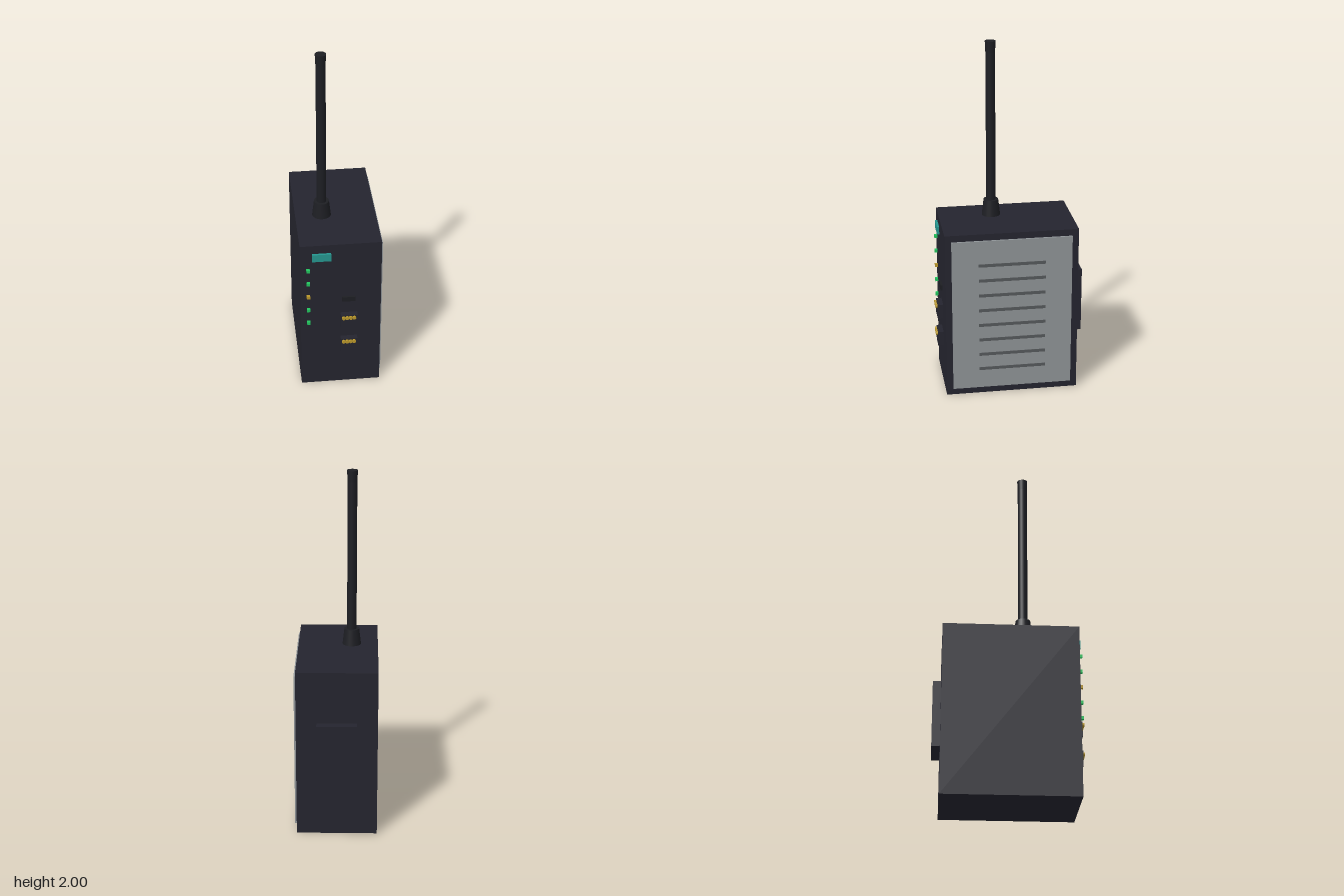
import * as THREE from 'three';

const mat = (name, color) => {
  const m = new THREE.MeshStandardMaterial({ color });
  m.name = name;
  return m;
};

export function createModel() {
  const root = new THREE.Group();
  root.name = 'antennaBox';
  const caseDark = mat('case dark', 0x24242e);
  const rubber = mat('rubber black', 0x1d1e23);
  const panelGrey = mat('panel grey', 0x8e9396);
  const slotGrey = mat('slot grey', 0x55595b);
  const teal = mat('label teal', 0x25968f);
  const green = mat('light green', 0x22c55e);
  const gold = mat('contact gold', 0xb8962a);

  const add = (name, geometry, material, x = 0, y = 0, z = 0) => {
    const mesh = new THREE.Mesh(geometry, material);
    mesh.name = name;
    mesh.position.set(x, y, z);
    root.add(mesh);
    return mesh;
  };
  // Box given by its lower and upper limits on each axis
  const box = (name, material, [x0, x1], [y0, y1], [z0, z1]) =>
    add(name, new THREE.BoxGeometry(x1 - x0, y1 - y0, z1 - z0), material,
      (x0 + x1) / 2, (y0 + y1) / 2, (z0 + z1) / 2);

  // Case and rear mounting block
  box('case', caseDark, [-0.235, 0.22], [0, 0.985], [-0.378, 0.378]);
  box('rearMount', caseDark, [-0.12, 0.105], [0.305, 0.685], [-0.424, -0.378]);

  // Side panel with vent slots
  box('sidePanel', panelGrey, [0.22, 0.231], [0.04, 0.947], [-0.341, 0.341]);
  for (let i = 0; i < 8; i++) {
    const y = 0.16 + i * 0.0915;
    box('ventSlot', slotGrey, [0.225, 0.2335], [y - 0.009, y + 0.009], [-0.19, 0.19]);
  }

  // Front label and status lights
  box('label', teal, [-0.168, -0.062], [0.885, 0.932], [0.378, 0.391]);
  for (let i = 0; i < 5; i++) {
    const y = 0.823 - i * 0.0915;
    box('statusLight', i === 2 ? gold : green, [-0.2, -0.181], [y - 0.009, y + 0.009], [0.378, 0.395]);
  }

  // Small socket and two ports with a row of round contacts
  box('smallSocket', rubber, [0, 0.075], [0.595, 0.625], [0.378, 0.39]);
  for (const y of [0.422, 0.25]) {
    box('port', caseDark, [-0.01, 0.086], [y, y + 0.088], [0.378, 0.41]);
    for (let i = 0; i < 4; i++) {
      const pin = add('contact', new THREE.CylinderGeometry(0.0105, 0.0105, 0.014, 12), gold,
        0.006 + i * 0.02, y + 0.073, 0.414);
      pin.rotation.x = Math.PI / 2;
    }
  }

  // Antenna: tapered base, rod and flared tip
  const tube = (name, rTop, rBottom, y0, y1) =>
    add(name, new THREE.CylinderGeometry(rTop, rBottom, y1 - y0, 24), rubber, -0.085, (y0 + y1) / 2, 0.076);
  tube('antennaBase', 0.042, 0.053, 0.985, 1.078);
  tube('antennaRod', 0.027, 0.027, 1.07, 1.96);
  tube('antennaTip', 0.03, 0.026, 1.915, 2);
  return root;
}
